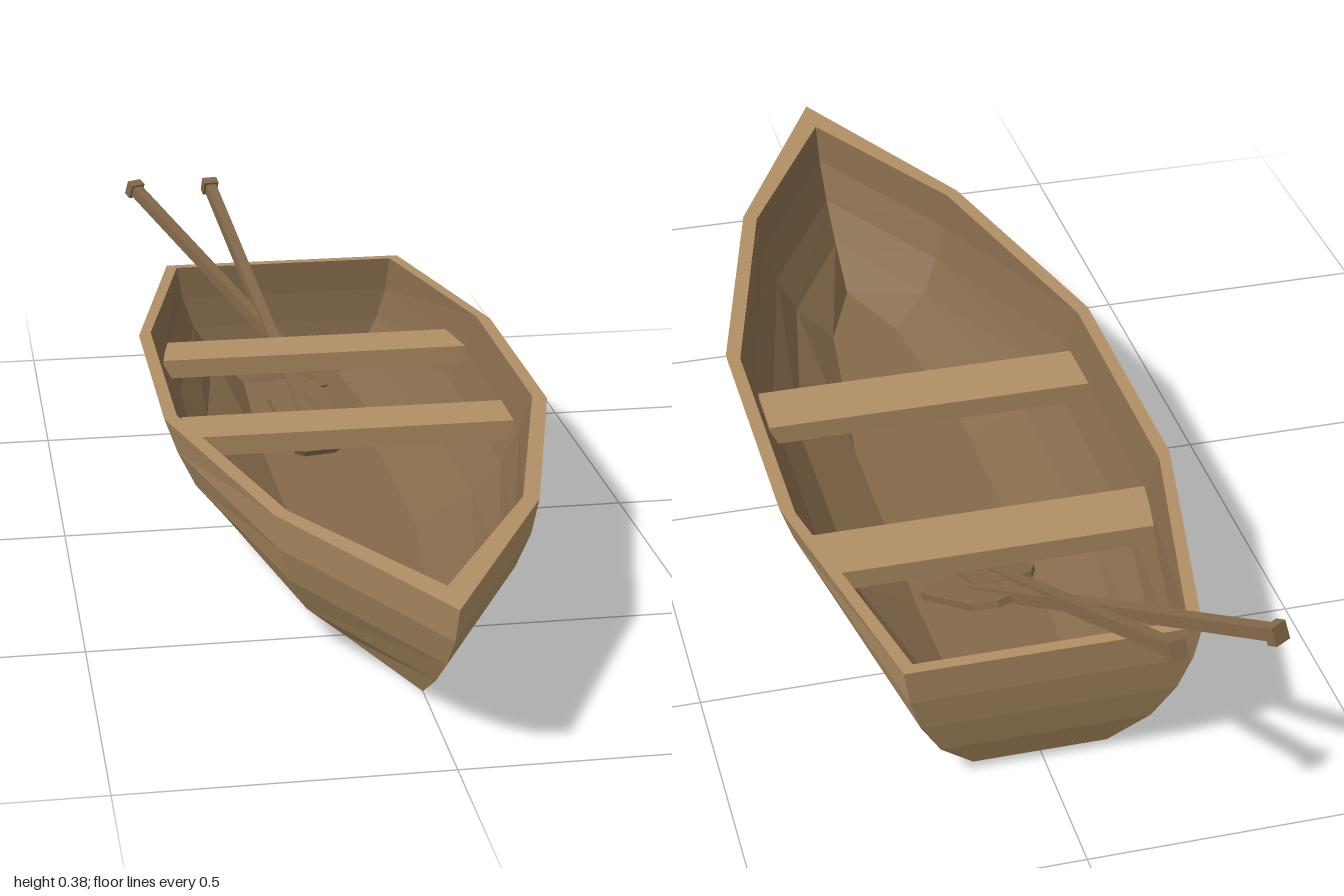
import * as THREE from 'three';

const wood = new THREE.MeshStandardMaterial({ color: 0xb08f64, flatShading: true });
const darkWood = new THREE.MeshStandardMaterial({ color: 0x84694a, flatShading: true });

// Each level: height, z of the stem, then [half width, z] from bow to stern
const outer = [
  [0, 0.73, [0.085, 0.50], [0.13, 0.11], [0.13, -0.34], [0.11, -0.745]],
  [0.063, 0.83, [0.15, 0.53], [0.23, 0.11], [0.23, -0.345], [0.17, -0.775]],
  [0.125, 0.91, [0.18, 0.56], [0.28, 0.115], [0.28, -0.35], [0.205, -0.79]],
  [0.188, 0.97, [0.20, 0.58], [0.31, 0.12], [0.31, -0.35], [0.225, -0.80]],
  [0.25, 1.0, [0.21, 0.59], [0.332, 0.12], [0.332, -0.35], [0.235, -0.805]],
];

// The inside follows the outside, moved in by the plank thickness
const inner = outer.map(([y, bow, ...stations], level) => [
  y + [0.02, 0.012, 0.005, 0, 0][level],
  bow - 0.09,
  ...stations.map(([x, z], i) => [x - (i === 3 ? 0.018 : 0.023), i === 3 ? z + 0.02 : z - 0.015]),
]);

// Closed ring of points: stem, left side to the stern, right side back
function ring([y, bow, ...stations]) {
  const left = stations.map(([x, z]) => new THREE.Vector3(x, y, z));
  const right = stations.map(([x, z]) => new THREE.Vector3(-x, y, z)).reverse();
  return [new THREE.Vector3(0, y, bow), ...left, ...right];
}

// Skin neighbouring rings, with an optional flat cap on the first or last
function skin(name, rings, material, capFirst, capLast) {
  const points = [];
  for (let r = 0; r < rings.length - 1; r++) {
    const a = rings[r], b = rings[r + 1];
    for (let i = 0; i < a.length; i++) {
      const j = (i + 1) % a.length;
      points.push(a[i], a[j], b[j], a[i], b[j], b[i]);
    }
  }
  const first = rings[0], last = rings[rings.length - 1];
  for (let i = 1; i < first.length - 1; i++) {
    if (capFirst) points.push(first[0], first[i + 1], first[i]);
    if (capLast) points.push(last[0], last[i], last[i + 1]);
  }
  const geometry = new THREE.BufferGeometry().setFromPoints(points);
  geometry.computeVertexNormals();
  const mesh = new THREE.Mesh(geometry, material);
  mesh.name = name;
  return mesh;
}

// Plank across the boat, its ends cut to follow the sides
function seat(name, z, backHalf, frontHalf) {
  const geometry = new THREE.BoxGeometry(2, 0.035, 0.11);
  const pos = geometry.attributes.position;
  for (let i = 0; i < pos.count; i++) {
    const half = pos.getZ(i) > 0 ? frontHalf : backHalf;
    pos.setX(i, Math.sign(pos.getX(i)) * half);
  }
  geometry.computeVertexNormals();
  const mesh = new THREE.Mesh(geometry, wood);
  mesh.name = name;
  mesh.position.set(0, 0.1775, z);
  return mesh;
}

// Oar running along its own +z from the grip to the blade tip
function oar(name, grip, tip) {
  const group = new THREE.Group();
  group.name = name;
  const length = grip.distanceTo(tip);
  const add = (part, geometry, z) => {
    const mesh = new THREE.Mesh(geometry, darkWood);
    mesh.name = part;
    mesh.position.z = z;
    group.add(mesh);
  };
  const shaftLength = length - 0.1;
  add('oarGrip', new THREE.BoxGeometry(0.03, 0.03, 0.018), 0.005);
  add('oarShaft', new THREE.BoxGeometry(0.021, 0.021, shaftLength), shaftLength / 2);

  // Blade outline: chamfered shoulders and a slightly rounded tip
  const half = [[0.012, 0], [0.035, 0.005], [0.058, 0.045], [0.046, 0.19], [0.03, 0.2]];
  const outline = [...half, ...half.map(([x, y]) => [-x, y]).reverse()];
  const shape = new THREE.Shape(outline.map(([x, y]) => new THREE.Vector2(x, y)));
  const blade = new THREE.ExtrudeGeometry(shape, { depth: 0.012, bevelEnabled: false });
  blade.translate(0, 0, -0.006);
  blade.rotateX(Math.PI / 2);
  add('oarBlade', blade, length - 0.2);

  group.position.copy(grip);
  group.lookAt(tip);
  return group;
}

export function createModel() {
  const boat = new THREE.Group();
  boat.name = 'rowingBoat';
  const outerRings = outer.map(ring);
  const innerRings = inner.map(ring).reverse();

  // Hull, gunwale and inside planking
  boat.add(skin('hull', outerRings, wood, true, false));
  boat.add(skin('gunwale', [outerRings[4], innerRings[0]], wood, false, false));
  boat.add(skin('innerHull', innerRings, darkWood, false, true));

  // Seats
  boat.add(seat('rearSeat', -0.415, 0.27, 0.287));
  boat.add(seat('middleSeat', 0.015, 0.287, 0.285));

  // Oars resting on the floor and over the stern
  boat.add(oar('rightOar', new THREE.Vector3(-0.283, 0.368, -0.985), new THREE.Vector3(0.07, 0.055, -0.36)));
  boat.add(oar('leftOar', new THREE.Vector3(-0.127, 0.368, -0.985), new THREE.Vector3(-0.005, 0.028, -0.275)));
  return boat;
}
